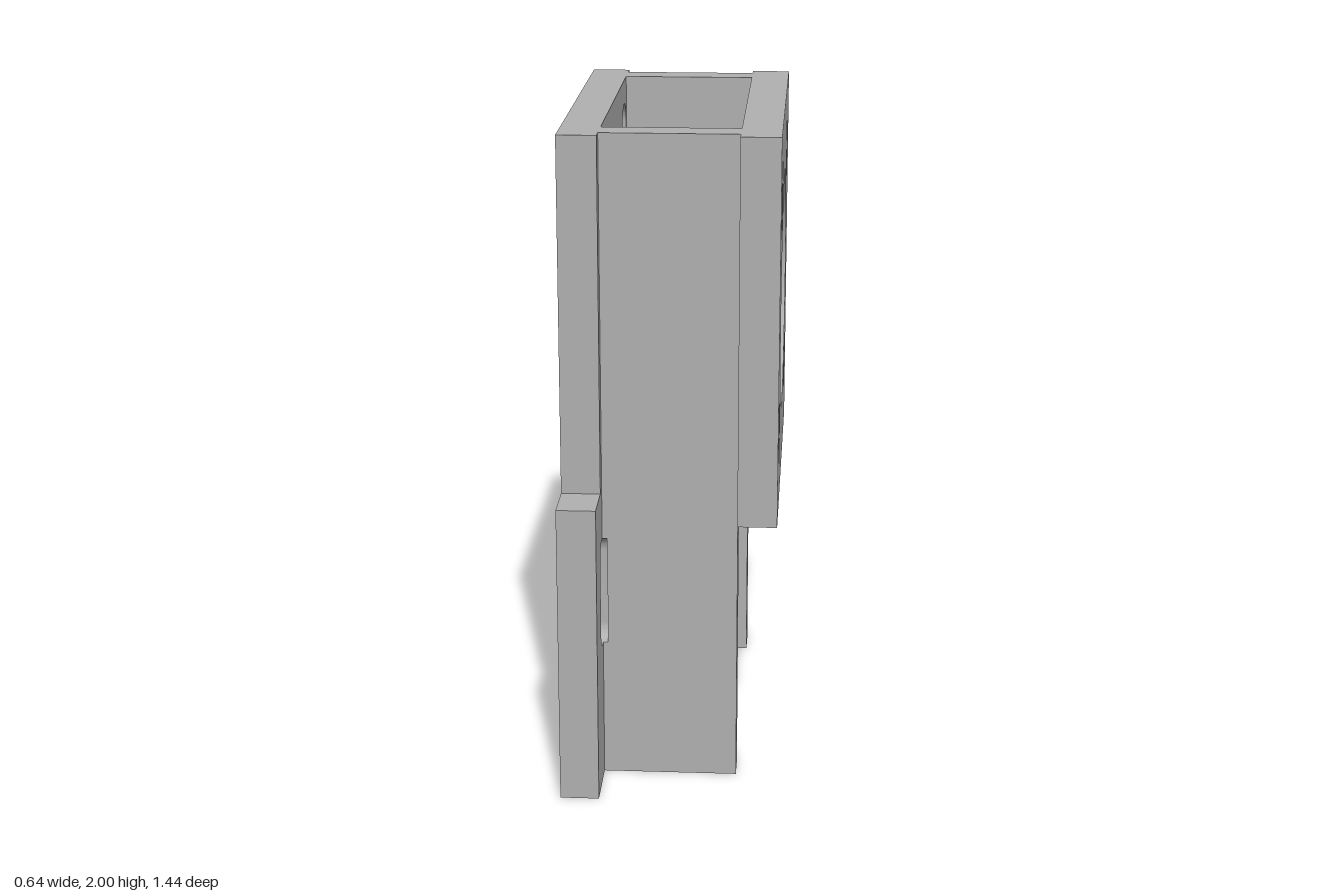
import * as THREE from 'three';
import { toCreasedNormals } from 'three/addons/utils/BufferGeometryUtils.js';

// Flat profile in (z, y), given thickness along x from x0 to x1
function slab(name, shape, x0, x1, material) {
  let g = new THREE.ExtrudeGeometry(shape, { depth: x1 - x0, bevelEnabled: false, curveSegments: 32 });
  g.rotateY(Math.PI / 2);
  g.translate(x0, 0, 0);
  g = toCreasedNormals(g, 0.5);
  const mesh = new THREE.Mesh(g, material);
  mesh.name = name;
  return mesh;
}

const polygon = (pts) => new THREE.Shape(pts.map(([u, y]) => new THREE.Vector2(u, y)));

function roundHole(y, r) {
  const p = new THREE.Path();
  p.absarc(0, y, r, 0, Math.PI * 2, true);
  return p;
}

// Vertical slot with round ends
function slot(u, y0, y1, r) {
  const p = new THREE.Path();
  p.absarc(u, y1 - r, r, 0, Math.PI, false);
  p.absarc(u, y0 + r, r, Math.PI, Math.PI * 2, false);
  p.closePath();
  return p;
}

// Thin wall strip whose outer edge is bitten by the side slot
function notchedStrip(s, inner, outer, u, y0, y1, r) {
  const pts = [[inner, 0], [outer, 0]];
  const a = Math.acos((u - outer) / r);
  const n = 10;
  for (let i = 0; i <= n; i++) {
    const t = a * (1 - i / n);
    pts.push([u - r * Math.cos(t), y0 + r - r * Math.sin(t)]);
  }
  for (let i = 0; i <= n; i++) {
    const t = a * i / n;
    pts.push([u - r * Math.cos(t), y1 - r + r * Math.sin(t)]);
  }
  pts.push([outer, 2], [inner, 2]);
  return polygon(pts.map(([p, y]) => [s * p, y]));
}

export function createModel() {
  const model = new THREE.Group();
  model.name = 'mountingBracket';
  const grey = new THREE.MeshStandardMaterial({ color: 0xb0b0b0 });
  grey.name = 'plain grey';

  // Tall plate with wider foot
  const tall = polygon([
    [-0.72, 0], [0.72, 0], [0.72, 0.925], [0.572, 0.925],
    [0.572, 2], [-0.572, 2], [-0.572, 0.925], [-0.72, 0.925],
  ]);
  tall.holes.push(roundHole(0.365, 0.32));

  // Short plate with the large bore
  const short = polygon([[-0.572, 0.83], [0.572, 0.83], [0.572, 2], [-0.572, 2]]);
  short.holes.push(roundHole(1.415, 0.372));

  for (const s of [-1, 1]) {
    tall.holes.push(slot(s * 0.543, 0.43, 0.77, 0.052));
    for (const y of [1.06, 1.77]) {
      tall.holes.push(slot(s * 0.357, y - 0.155, y + 0.155, 0.07));
      short.holes.push(slot(s * 0.357, y - 0.12, y + 0.12, 0.043));
    }
  }
  model.add(slab('tallPlate', tall, -0.322, -0.205, grey));
  model.add(slab('shortPlate', short, 0.202, 0.32, grey));

  // Two walls joining the plates
  for (const s of [-1, 1]) {
    const side = s > 0 ? 'back' : 'front';
    const wall = polygon([[s * 0.44, 0], [s * 0.53, 0], [s * 0.53, 2], [s * 0.44, 2]]);
    model.add(slab(side + 'Wall', wall, -0.19, 0.202, grey));
    const strip = notchedStrip(s, 0.44, 0.53, 0.543, 0.43, 0.77, 0.052);
    model.add(slab(side + 'WallRoot', strip, -0.205, -0.19, grey));
  }
  return model;
}
